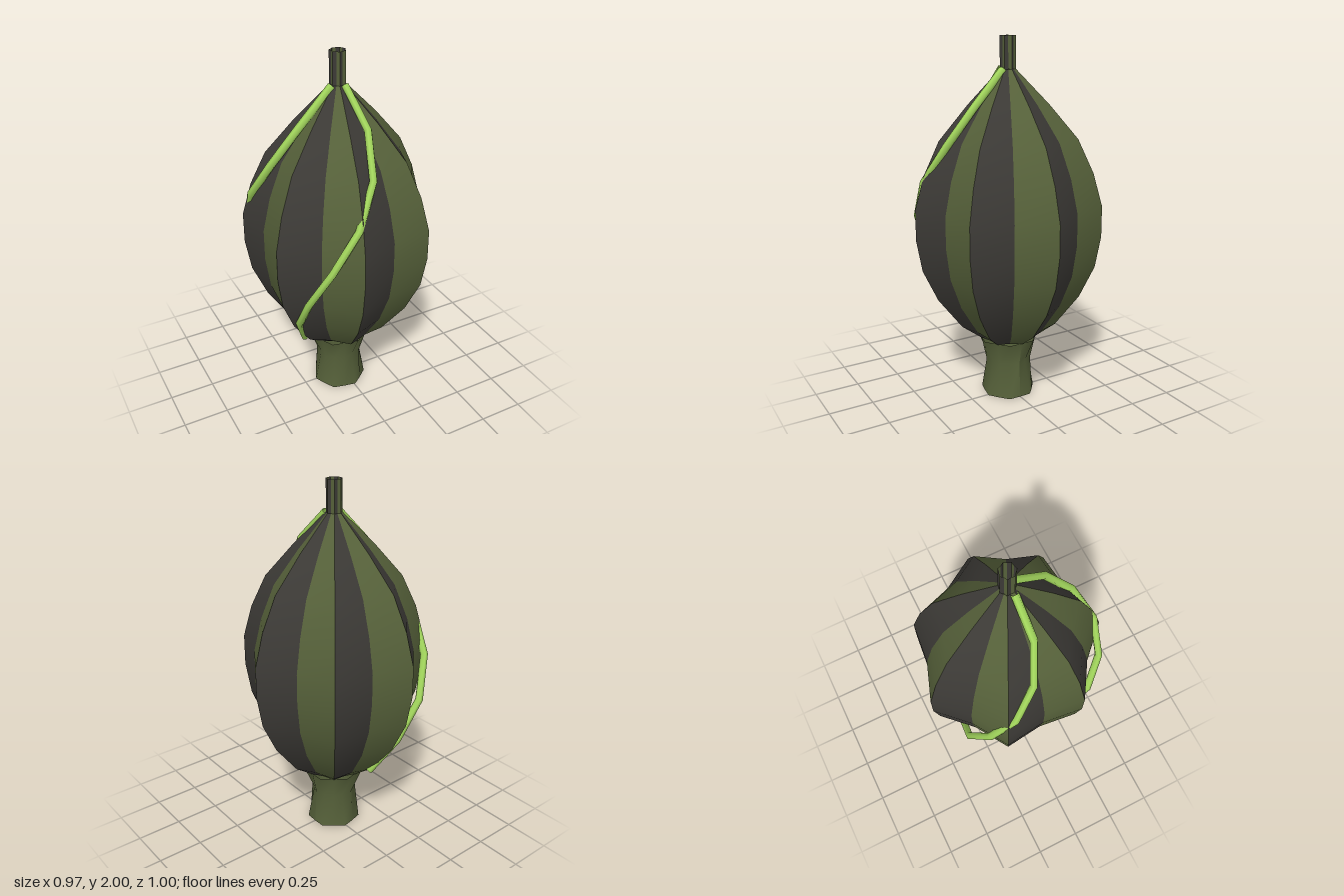
import * as THREE from 'three';

const CX = -0.027; // axis of the pod
const STEP = Math.PI / 7;

const make = (name, color) => {
  const m = new THREE.MeshStandardMaterial({ color, side: THREE.DoubleSide });
  m.name = name;
  return m;
};

// Loft rings [y, even radius, odd radius] over the 14 spokes from..to
function loft(rings, from, to) {
  const pos = [], idx = [], w = to - from + 1;
  for (const [y, even, odd] of rings) {
    for (let k = from; k <= to; k++) {
      const r = k % 2 ? odd : even, a = k * STEP;
      pos.push(r * Math.cos(a), y, -r * Math.sin(a));
    }
  }
  for (let j = 0; j < rings.length - 1; j++) {
    for (let i = 0; i < w - 1; i++) {
      const a = j * w + i, b = a + 1, c = a + w, d = c + 1;
      idx.push(a, b, d, a, d, c);
    }
  }
  const g = new THREE.BufferGeometry();
  g.setAttribute('position', new THREE.Float32BufferAttribute(pos, 3));
  g.setIndex(idx);
  g.computeVertexNormals();
  return g;
}

export function createModel() {
  const group = new THREE.Group();
  const green = make('mossGreen', 0x56613a);
  const dark = make('charcoal', 0x3c3a36);
  const lime = make('limeGreen', 0xa2d65c);

  const add = (name, geometry, material) => {
    const mesh = new THREE.Mesh(geometry, material);
    mesh.name = name;
    mesh.position.x = CX;
    group.add(mesh);
  };

  // Star-shaped pod in alternating stripes, narrowing to an open stem
  const podProfile = [
    [0.335, 0.16], [0.413, 0.268], [0.587, 0.4], [0.765, 0.482], [0.94, 0.512],
    [1.11, 0.511], [1.29, 0.46], [1.47, 0.375], [1.65, 0.22], [1.83, 0.043],
  ].map(([y, r]) => [y, r, r * 0.85]);
  const stemProfile = [[1.83, 0.043, 0.036], [2, 0.043, 0.036]];
  for (let k = 0; k < 14; k++) {
    const material = k % 2 ? green : dark;
    add('podStripe' + k, loft(podProfile, k, k + 1), material);
    add('stemStripe' + k, loft(stemProfile, k, k + 1), material);
  }

  // Flared, open foot
  add('foot', loft([[0, 0.14, 0.153], [0.2, 0.128, 0.116], [0.338, 0.157, 0.174]], 0, 14), green);

  // Two vines winding down the pod: [y, radius, degrees from the front]
  const vinePath = [
    [1.83, 0.045, -26], [1.64, 0.237, -11.5], [1.42, 0.38, 2], [1.22, 0.468, 17],
    [1.02, 0.497, 32], [0.82, 0.477, 46], [0.61, 0.39, 60], [0.41, 0.263, 74],
  ];
  [['frontVine', 0], ['backVine', 96]].forEach(([name, turn]) => {
    const points = vinePath.map(([y, r, deg]) => {
      const a = THREE.MathUtils.degToRad(deg + turn);
      return new THREE.Vector3(-r * Math.sin(a), y, r * Math.cos(a));
    });
    add(name, new THREE.TubeGeometry(new THREE.CatmullRomCurve3(points), 7, 0.021, 6), lime);
  });

  return group;
}
